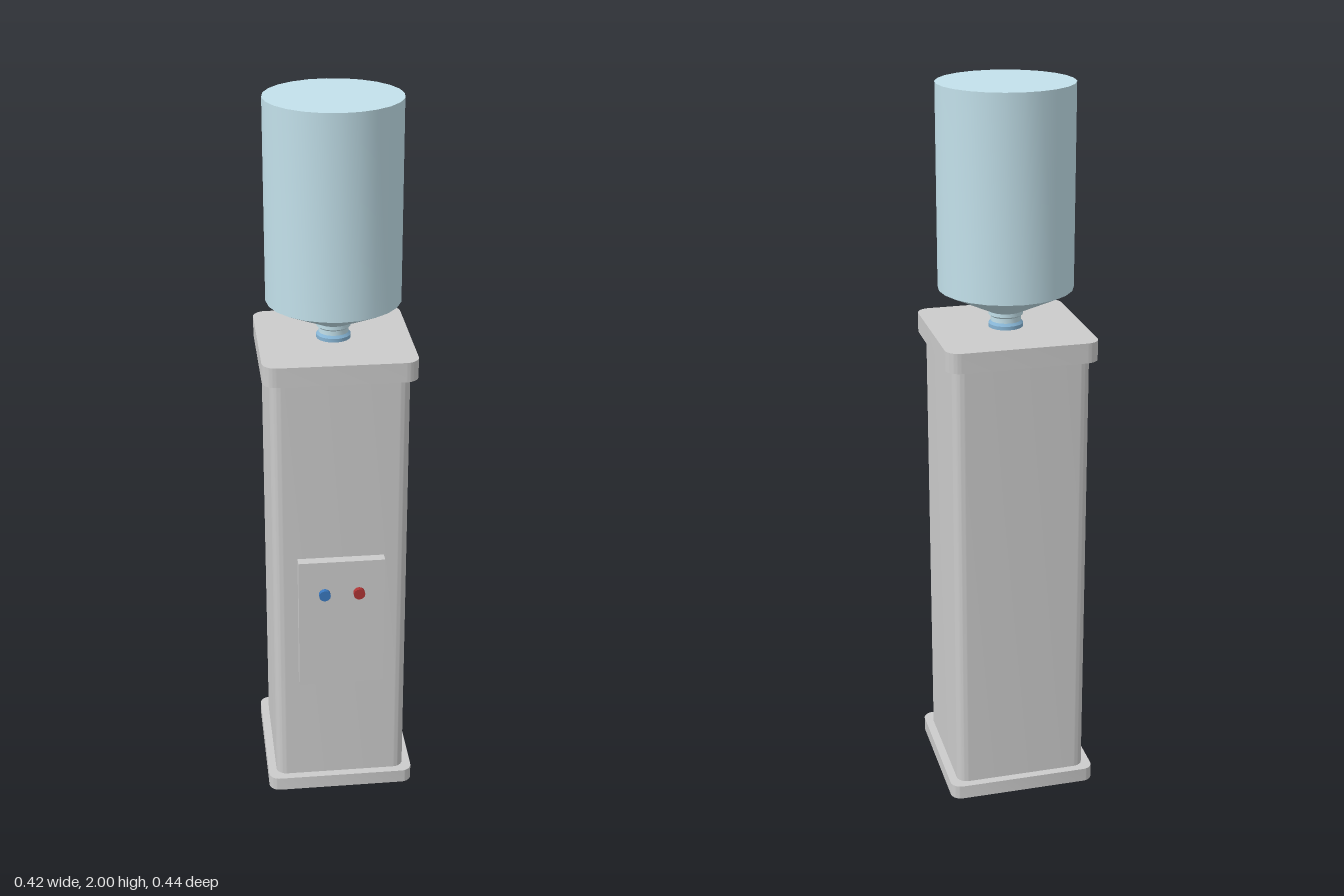
import * as THREE from 'three';
import { toCreasedNormals } from 'three/addons/utils/BufferGeometryUtils.js';

const CENTRE_Z = -0.01;
const material = (color) => new THREE.MeshStandardMaterial({ color });

// Upright slab with a rounded-square footprint, from y0 to y1
function roundedSlab(half, radius, y0, y1) {
  const s = new THREE.Shape();
  const c = half - radius;
  s.absarc(c, c, radius, 0, Math.PI / 2);
  s.absarc(-c, c, radius, Math.PI / 2, Math.PI);
  s.absarc(-c, -c, radius, Math.PI, Math.PI * 1.5);
  s.absarc(c, -c, radius, Math.PI * 1.5, Math.PI * 2);
  s.closePath();
  const g = new THREE.ExtrudeGeometry(s, { depth: y1 - y0, bevelEnabled: false, curveSegments: 6 });
  g.rotateX(-Math.PI / 2).translate(0, y0, CENTRE_Z);
  return toCreasedNormals(g, 0.6);
}

// Turned part from [radius, height] points, bottom to top
function turned(points) {
  const g = new THREE.LatheGeometry(points.map(([r, y]) => new THREE.Vector2(r, y)), 24);
  g.translate(0, 0, CENTRE_Z);
  return toCreasedNormals(g, 0.5);
}

export function createModel() {
  const model = new THREE.Group();
  model.name = 'waterCooler';
  const add = (name, geometry, mat) => {
    const mesh = new THREE.Mesh(geometry, mat);
    mesh.name = name;
    model.add(mesh);
    return mesh;
  };
  const grey = material(0xcccccc);

  // Cabinet
  add('base', roundedSlab(0.21, 0.03, 0, 0.04), grey);
  add('cabinet', roundedSlab(0.187, 0.03, 0.04, 1.29), grey);
  add('lid', roundedSlab(0.207, 0.038, 1.29, 1.345), grey);

  // Tap panel
  const panel = add('tapPanel', new THREE.BoxGeometry(0.24, 0.395, 0.04), material(0xebe8e9));
  panel.position.set(0, 0.567, 0.185);

  // Cold and hot buttons
  for (const [name, x, color] of [['coldButton', -0.048, 0x3978bf], ['hotButton', 0.048, 0xae3434]]) {
    const g = new THREE.CylinderGeometry(0.016, 0.016, 0.025, 16).rotateX(Math.PI / 2);
    add(name, g, material(color)).position.set(x, 0.665, 0.2055);
  }

  // Upturned bottle and its collar
  add('bottle', turned([
    [0, 1.36], [0.041, 1.36], [0.041, 1.375], [0.047, 1.38], [0.047, 1.39],
    [0.183, 1.455], [0.183, 2], [0, 2],
  ]), material(0xc3e1eb));
  add('bottleCollar', turned([[0, 1.345], [0.047, 1.345], [0.047, 1.355], [0.041, 1.362], [0, 1.362]]), material(0x86b4d4));

  return model;
}
